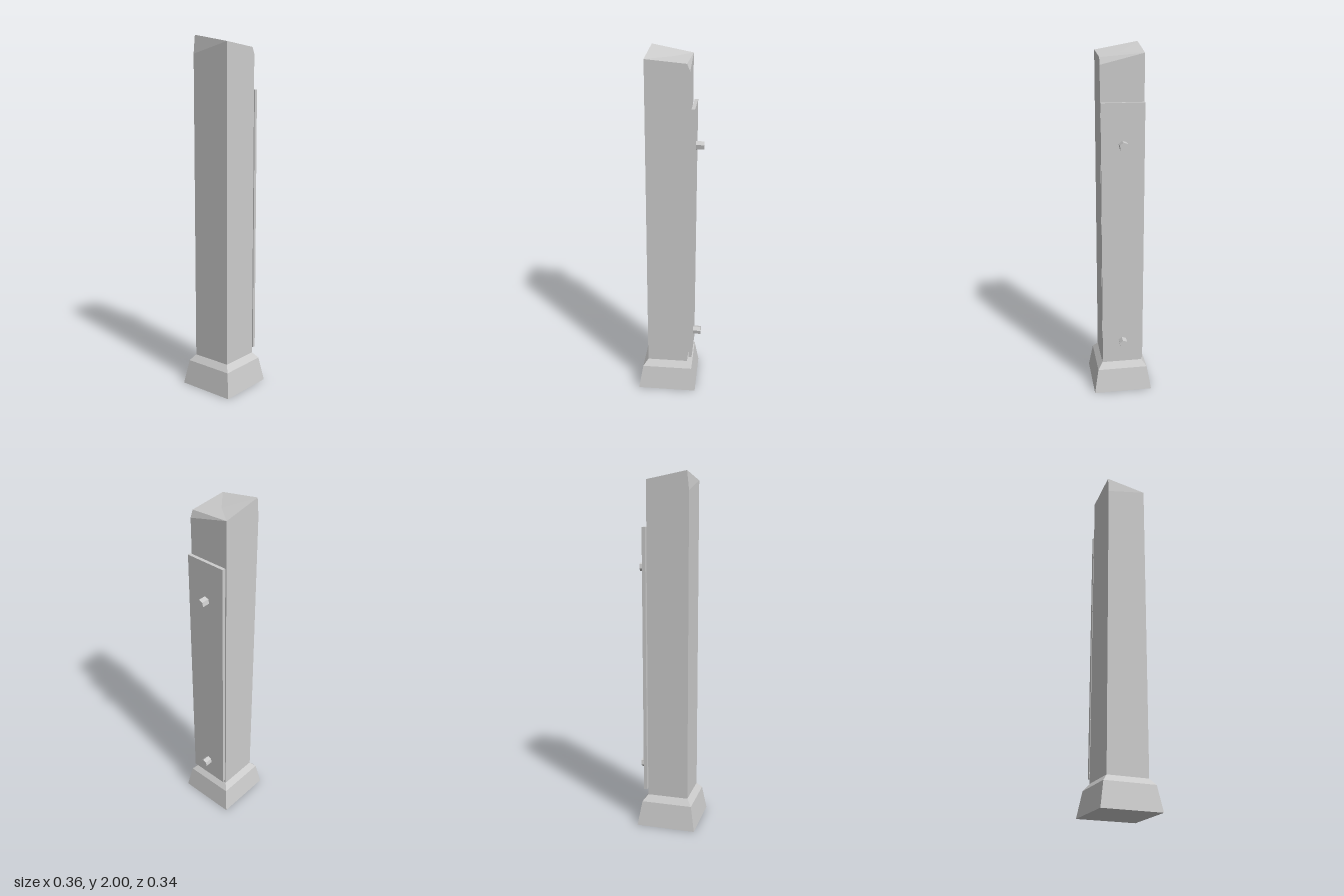
import * as THREE from 'three';

const grey = new THREE.MeshStandardMaterial({ color: 0xcccccc });
grey.name = 'grey';

// Flat-faced mesh from convex polygons with counter-clockwise corners
function polygonMesh(name, polygons) {
  const positions = [];
  for (const p of polygons) {
    for (let i = 1; i < p.length - 1; i++) positions.push(...p[0], ...p[i], ...p[i + 1]);
  }
  const geometry = new THREE.BufferGeometry();
  geometry.setAttribute('position', new THREE.Float32BufferAttribute(positions, 3));
  geometry.computeVertexNormals();
  const mesh = new THREE.Mesh(geometry, grey);
  mesh.name = name;
  return mesh;
}

const X0 = -0.128, X1 = 0.106, Z0 = -0.118, Z1 = 0.116, FOOT = 0.175;

// Rectangle around the post, widened by a margin, seen counter-clockwise from above
const ring = (y, m) => [
  [X0 - m, y, Z1 + m], [X1 + m, y, Z1 + m], [X1 + m, y, Z0 - m], [X0 - m, y, Z0 - m],
];

function createBase() {
  const rings = [ring(0, 0.052), ring(0.14, 0.028), ring(FOOT, 0)];
  const faces = [[...rings[0]].reverse(), rings[2]];
  for (let r = 0; r < 2; r++) {
    for (let i = 0; i < 4; i++) {
      const j = (i + 1) % 4;
      faces.push([rings[r][i], rings[r][j], rings[r + 1][j], rings[r + 1][i]]);
    }
  }
  return polygonMesh('base', faces);
}

function createPost() {
  const [fl, fr, br, bl] = ring(FOOT, 0);
  // Top corners of the slanted, worn end
  const top = [[X0, 1.957, Z1], [0.09, 1.937, Z1], [X1, 1.957, Z0], [-0.117, 2, Z0]];
  const [tfl, tfr, tbr, tbl] = top;
  const chipFront = [X1, 1.9, Z1], chipBack = [X0, 1.9, Z0];
  const faces = [
    [fl, fr, chipFront, tfr, tfl],
    [br, bl, chipBack, tbl, tbr],
    [fr, br, tbr, chipFront],
    [chipFront, tbr, tfr],
    [bl, fl, tfl, chipBack],
    [chipBack, tfl, tbl],
  ];
  // Slightly hollow top in four panels
  const centre = [0.01, 1.955, 0];
  const mid = (a, b) => a.map((v, i) => (v + b[i]) / 2);
  top.forEach((corner, i) => {
    const next = top[(i + 1) % 4], previous = top[(i + 3) % 4];
    faces.push([corner, mid(corner, next), centre, mid(corner, previous)]);
  });
  return polygonMesh('post', faces);
}

export function createModel() {
  const model = new THREE.Group();
  model.name = 'signPost';
  model.add(createBase(), createPost());

  // Side plate, standing slightly off the post
  const plate = new THREE.Mesh(new THREE.BoxGeometry(0.019, 1.505, Z1 - Z0), grey);
  plate.name = 'sidePlate';
  plate.position.set(0.1235, 0.9575, (Z0 + Z1) / 2);
  model.add(plate);

  // Hexagonal bolts through the plate
  const boltGeometry = new THREE.CylinderGeometry(0.025, 0.025, 0.073, 6).toNonIndexed();
  boltGeometry.computeVertexNormals();
  boltGeometry.rotateZ(-Math.PI / 2).rotateX(-0.31);
  [['lowerBolt', 0.325], ['upperBolt', 1.487]].forEach(([name, y]) => {
    const bolt = new THREE.Mesh(boltGeometry, grey);
    bolt.name = name;
    bolt.position.set(0.1415, y, -0.001);
    model.add(bolt);
  });
  return model;
}
